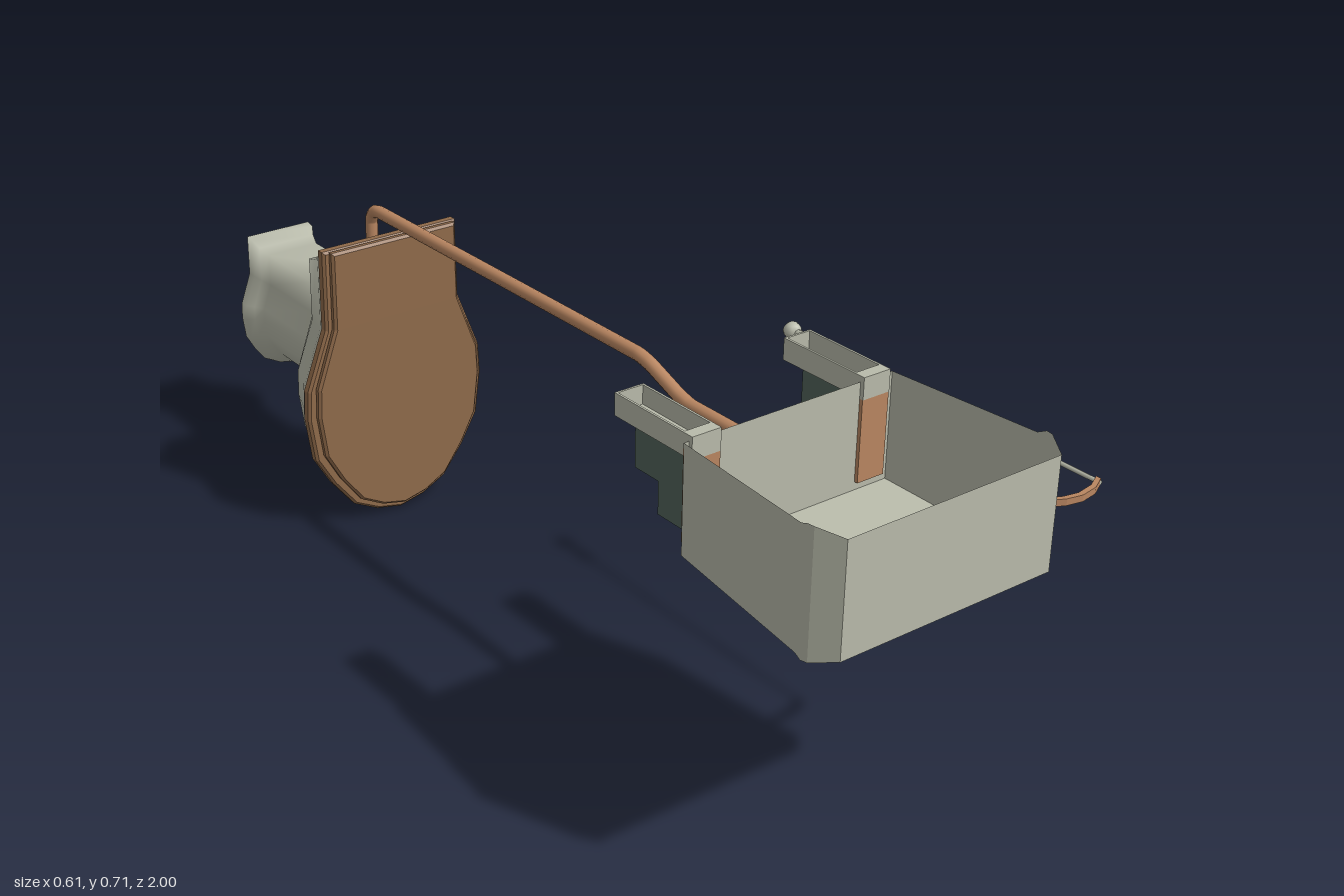
import * as THREE from 'three';

const mat = (name, color) => {
  const m = new THREE.MeshStandardMaterial({ color, side: THREE.DoubleSide });
  m.name = name;
  return m;
};

// Skin a list of equally long point rings
function loft(rings, closed, capEnds) {
  const n = rings[0].length, pos = rings.flat(2), idx = [];
  for (let r = 0; r < rings.length - 1; r++) {
    for (let i = 0; i < (closed ? n : n - 1); i++) {
      const a = r * n + i, b = r * n + (i + 1) % n;
      idx.push(a, b, a + n, b, b + n, a + n);
    }
  }
  if (capEnds) {
    const last = (rings.length - 1) * n;
    for (let i = 1; i < n - 1; i++) {
      idx.push(0, i + 1, i, last, last + i, last + i + 1);
    }
  }
  const g = new THREE.BufferGeometry();
  g.setAttribute('position', new THREE.Float32BufferAttribute(pos, 3));
  g.setIndex(idx);
  return g;
}

// Half outline shared by seat and bowl: [half width 0..1, height 0..1]
const HALF = [[0, 0], [0.27, 0.02], [0.53, 0.065], [0.76, 0.165], [0.94, 0.27],
  [1, 0.42], [0.985, 0.525], [0.75, 0.73], [0.74, 1]];
const CX = -0.065;
function outline(hw, y0, y1) {
  const right = HALF.map(([u, v]) => [CX + u * hw, y0 + v * (y1 - y0)]);
  const left = HALF.slice(1).reverse().map(([u, v]) => [CX - u * hw, y0 + v * (y1 - y0)]);
  return [...right, ...left];
}

export function createModel() {
  const stone = mat('pale stone', 0xb9bbab);
  const wood = mat('brown wood', 0x8f6a4a);
  const copper = mat('copper', 0xb98661);
  const green = mat('dark green', 0x52645a);

  const model = new THREE.Group();
  const add = (name, geo, material, parent = model) => {
    const m = new THREE.Mesh(geo, material);
    m.name = name;
    parent.add(m);
    return m;
  };
  const box = (name, x0, x1, y0, y1, z0, z1, material, parent) =>
    add(name, new THREE.BoxGeometry(x1 - x0, y1 - y0, z1 - z0), material, parent)
      .position.set((x0 + x1) / 2, (y0 + y1) / 2, (z0 + z1) / 2);

  // Bowl with waisted neck and flared open foot: z, half width, bottom, top
  const bowlRings = [[-0.555, 0.198, 0.012, 0.595], [-0.58, 0.193, 0.018, 0.58],
    [-0.6, 0.182, 0.035, 0.565], [-0.65, 0.165, 0.06, 0.548], [-0.685, 0.138, 0.095, 0.525],
    [-0.71, 0.112, 0.145, 0.485], [-0.735, 0.088, 0.187, 0.453], [-0.76, 0.08, 0.195, 0.445],
    [-0.94, 0.078, 0.195, 0.445], [-0.965, 0.088, 0.182, 0.455], [-0.98, 0.098, 0.168, 0.468],
    [-1, 0.1, 0.163, 0.472]];
  const bowl = loft(bowlRings.map(([z, hw, y0, y1]) =>
    outline(hw, y0, y1).map(([x, y]) => [x, y, z])).reverse(), true, false);
  bowl.computeVertexNormals();
  add('bowl', bowl, stone);

  // Seat and closed lid
  const slab = (name, hw, y0, y1, z0, z1, bevel) => {
    const pts = outline(hw - bevel, y0 + bevel, y1 - bevel).map(p => new THREE.Vector2(...p));
    const g = new THREE.ExtrudeGeometry(new THREE.Shape(pts), { depth: z1 - z0 - 2 * bevel,
      bevelEnabled: true, bevelThickness: bevel, bevelSize: bevel, bevelSegments: 1 });
    g.translate(0, 0, z0 + bevel);
    add(name, g, wood);
  };
  slab('seat', 0.205, 0, 0.603, -0.562, -0.538, 0.005);
  slab('lid', 0.19, 0.016, 0.603, -0.54, -0.522, 0.005);

  // Cistern: open on its wall side (+y): z, x range, y range
  const tankRings = [[0.64, -0.28, 0.15, 0.5, 0.695], [0.93, -0.302, 0.175, 0.48, 0.695],
    [0.945, -0.305, 0.179, 0.476, 0.702], [0.958, -0.303, 0.177, 0.477, 0.702],
    [1, -0.278, 0.153, 0.49, 0.692]];
  const tank = loft(tankRings.map(([z, x0, x1, y0, y1]) =>
    [[x0, y1, z], [x0, y0, z], [x1, y0, z], [x1, y1, z]]), false, true).toNonIndexed();
  tank.computeVertexNormals();
  add('cistern', tank, stone);

  // Flush pipe from cistern to bowl
  const path = new THREE.CurvePath();
  const pts = [[0.595, 0.64], [0.595, 0.39], [0.602, 0.36], [0.632, 0.28], [0.638, 0.25],
    [0.638, -0.59], [0.632, -0.605], [0.615, -0.615], [0.55, -0.615]]
    .map(([y, z]) => new THREE.Vector3(-0.061, y, z));
  for (let i = 1; i < pts.length; i++) path.add(new THREE.LineCurve3(pts[i - 1], pts[i]));
  add('flushPipe', new THREE.TubeGeometry(path, 140, 0.0128, 10), copper);

  // Wall brackets
  for (const x of [-0.27, 0.081]) {
    const b = new THREE.Group();
    b.name = 'bracket';
    model.add(b);
    const w = 0.057;
    // Wall channel, open towards the wall
    box('channelFloor', x, x + w, 0.665, 0.671, 0.455, 0.648, stone, b);
    box('channelSide', x, x + 0.004, 0.665, 0.705, 0.455, 0.648, stone, b);
    box('channelSide', x + w - 0.004, x + w, 0.665, 0.705, 0.455, 0.648, stone, b);
    box('channelEnd', x, x + w, 0.665, 0.705, 0.455, 0.459, stone, b);
    box('channelEnd', x, x + w, 0.665, 0.705, 0.625, 0.648, stone, b);
    box('channelInset', x + 0.004, x + 0.032, 0.671, 0.674, 0.46, 0.5, copper, b);
    // Shelf bar under the cistern
    box('shelfBar', x, x + w, 0.515, 0.68, 0.627, 0.647, copper, b);
    // Stepped web plate
    const s = new THREE.Shape([[0.48, 0.667], [0.48, 0.577], [0.54, 0.577], [0.54, 0.518],
      [0.63, 0.518], [0.63, 0.667]].map(([z, y]) => new THREE.Vector2(-z, y)));
    const web = new THREE.ExtrudeGeometry(s, { depth: 0.012, bevelEnabled: false });
    web.rotateY(Math.PI / 2);
    web.translate(x + w / 2 - 0.006, 0, 0);
    add('web', web, green, b);
  }

  // Lever: a curved flat arm
  const arm = [[0.145, 0.95], [0.165, 0.965], [0.195, 0.98], [0.225, 0.986], [0.26, 0.98], [0.288, 0.965]];
  add('leverArm', loft(arm.map(([x, z]) => [[x, 0.585, z + 0.005], [x, 0.597, z + 0.005],
    [x, 0.597, z - 0.005], [x, 0.585, z - 0.005]]), true, true).toNonIndexed(), copper)
    .geometry.computeVertexNormals();
  box('leverSocket', 0.143, 0.158, 0.58, 0.602, 0.95, 0.996, green);

  // Pull rod, grip and knob
  const rod = (name, r0, r1, z0, z1) => {
    const m = add(name, new THREE.CylinderGeometry(r1, r0, z1 - z0, 8), stone);
    m.rotation.x = Math.PI / 2;
    m.position.set(0.285, 0.591, (z0 + z1) / 2);
  };
  rod('pullRod', 0.004, 0.004, 0.33, 0.972);
  rod('grip', 0.007, 0.011, 0.26, 0.335);
  add('knob', new THREE.SphereGeometry(0.017, 8, 8), stone).position.set(0.285, 0.591, 0.252);

  return model;
}
